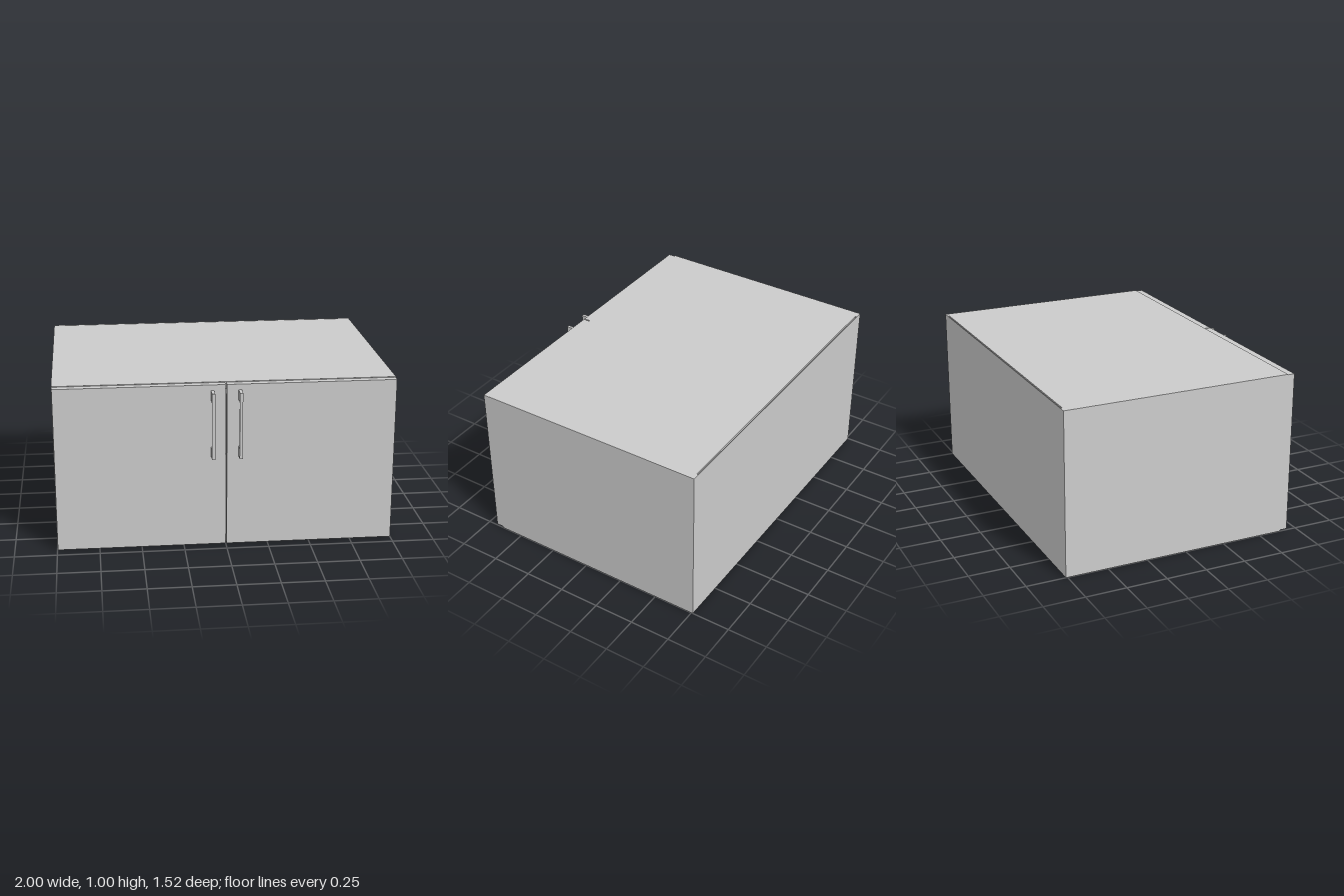
import * as THREE from 'three';

const material = new THREE.MeshStandardMaterial({ color: 0xcccccc, flatShading: true });

// Box given by its lower and upper corners
function panel(name, [x0, y0, z0], [x1, y1, z1]) {
  const mesh = new THREE.Mesh(new THREE.BoxGeometry(x1 - x0, y1 - y0, z1 - z0), material);
  mesh.position.set((x0 + x1) / 2, (y0 + y1) / 2, (z0 + z1) / 2);
  mesh.name = name;
  return mesh;
}

// Flat D-shaped pull: outline in (z, y) extruded along x
function handle(name, x) {
  const front = 0.76, back = 0.69, bottom = 0.563, top = 0.962, width = 0.018;
  const outline = new THREE.Shape([
    [back, bottom], [front, bottom], [front, top], [back, top],
    [back, 0.903], [0.745, 0.903], [0.745, 0.62], [back, 0.62],
  ].map(([z, y]) => new THREE.Vector2(-z, y)));
  const geometry = new THREE.ExtrudeGeometry(outline, { depth: width, bevelEnabled: false });
  geometry.translate(0, 0, -width / 2).rotateY(Math.PI / 2);
  const mesh = new THREE.Mesh(geometry, material);
  mesh.position.x = x;
  mesh.name = name;
  return mesh;
}

export function createModel() {
  const model = new THREE.Group();
  model.name = 'wallCabinet';
  const t = 0.045, height = 1, carcassFront = 0.645, carcassBack = -0.753;

  // Top and bottom boards sit between the sides, stopping just short of the back
  for (const [name, y] of [['bottomPanel', 0], ['topPanel', height - t]]) {
    model.add(panel(name, [-1 + t, y, -0.748], [1 - t, y + t, carcassFront]));
  }

  // Thin back sheet
  model.add(panel('backPanel', [-1, 0, -0.76], [1, height, -0.756]));

  // Sides, doors and handles, one set per side
  for (const [label, s] of [['left', 1], ['right', -1]]) {
    const span = (a, b) => (s > 0 ? [a, b] : [-b, -a]);
    const [s0, s1] = span(1 - t, 1);
    model.add(panel(label + 'SidePanel', [s0, 0, carcassBack - 0.003], [s1, height, carcassFront]));
    const [d0, d1] = span(0.004, 0.997);
    model.add(panel(label + 'Door', [d0, 0.006, carcassFront + 0.001], [d1, 0.996, 0.69]));
    model.add(handle(label + 'Handle', s * 0.08));
  }
  return model;
}
